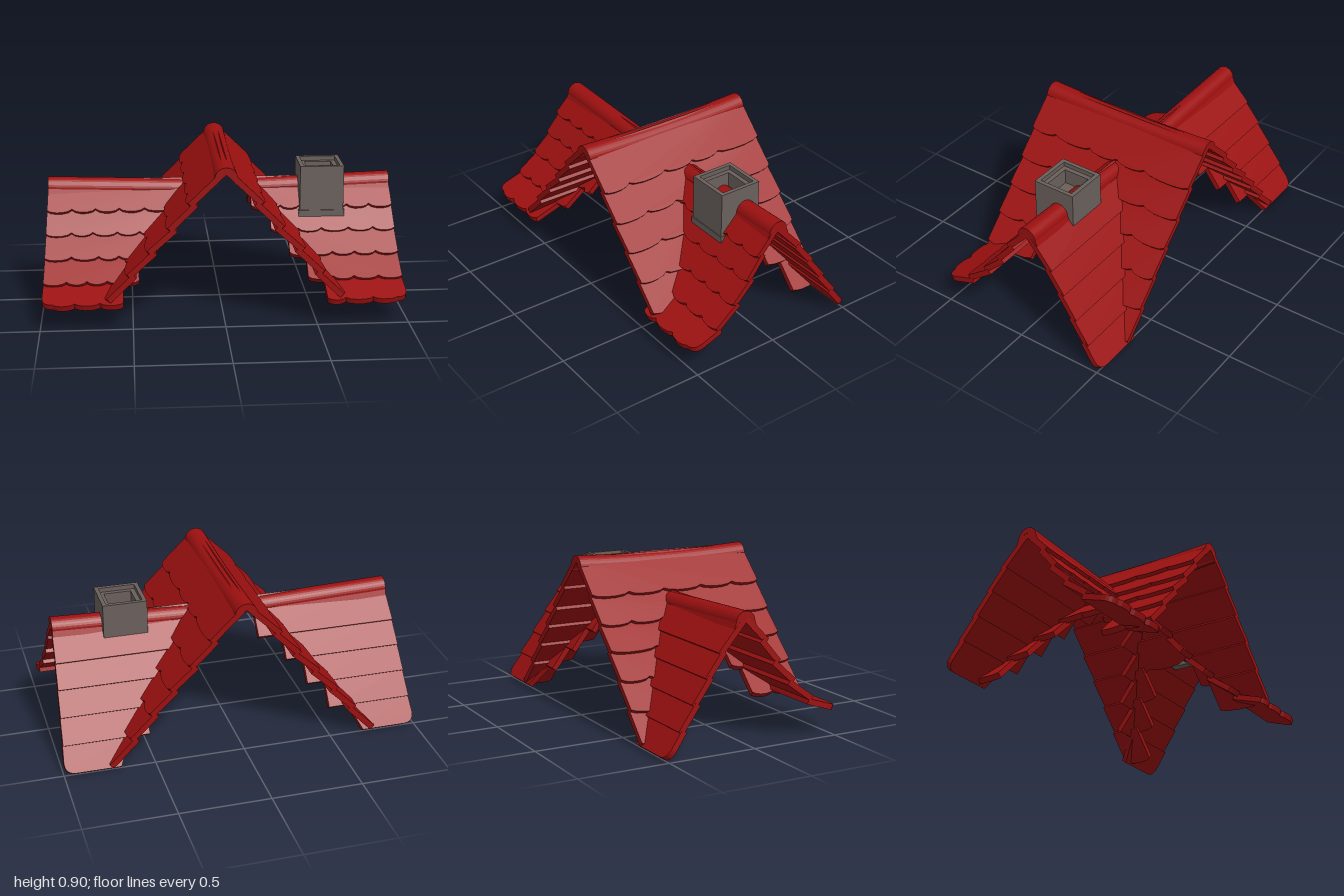
import * as THREE from 'three';

const roofRed = new THREE.MeshStandardMaterial({ name: 'roofRed', color: 0x9c1010 });
const chimneyGrey = new THREE.MeshStandardMaterial({ name: 'chimneyGrey', color: 0x6a605c });
const V3 = (x, y, z) => new THREE.Vector3(x, y, z);

let seed = 7;
const rand = () => (seed = (seed * 16807) % 2147483647) / 2147483647;

function add(parent, name, geometry, material) {
  const mesh = new THREE.Mesh(geometry, material);
  mesh.name = name;
  parent.add(mesh);
  return mesh;
}

// One row of tiles: a slab running along `axis` and sloping from a down to b.
// top and bottom are its [start, end] along the axis; scallop is the tile width.
function tileRow(a, b, axis, top, bottom, { scallop = 0, round = 0, sink = 0.02, thick = 0.032 } = {}) {
  const e = axis.clone();
  let v = b.clone().sub(a).normalize();
  let n = e.clone().cross(v);
  let k = 1;
  if (n.y < 0) { k = -1; e.negate(); n.negate(); }
  const start = a.clone().addScaledVector(n, -sink);
  const length = b.distanceTo(start);
  v = b.clone().sub(start).normalize();
  n = e.clone().cross(v);

  const s = new THREE.Shape();
  s.moveTo(k * top[0], -0.02);
  s.lineTo(k * top[1], -0.02);
  s.lineTo(k * bottom[1], length - round);
  if (round) s.quadraticCurveTo(k * bottom[1], length, k * (bottom[1] - round), length);
  let w = bottom[1] - round;
  while (scallop && w > bottom[0] + 0.001) {
    let next = w - scallop * (0.8 + 0.4 * rand());
    if (next < bottom[0] + scallop * 0.4) next = bottom[0];
    s.bezierCurveTo(k * (w - 0.02), length + 0.022, k * (next + 0.02), length + 0.022, k * next, length - 0.006);
    w = next;
  }
  s.lineTo(k * bottom[0], length);
  const g = new THREE.ExtrudeGeometry(s, { depth: thick, bevelEnabled: false, curveSegments: 5 });
  g.translate(0, 0, -thick);
  const m = new THREE.Matrix4().makeBasis(e, v, n).setPosition(start);
  return g.applyMatrix4(m);
}

// Rounded ridge cap along z, centred on z = 0
function ridgeCap(radius, length) {
  const s = new THREE.Shape();
  s.moveTo(radius + 0.012, -0.03);
  s.lineTo(radius, 0);
  s.absarc(0, 0, radius, 0, Math.PI, false);
  s.lineTo(-radius - 0.012, -0.03);
  s.lineTo(-radius + 0.015, -0.03);
  s.absarc(0, -0.01, radius - 0.022, Math.PI, 0, true);
  s.lineTo(radius - 0.015, -0.03);
  const g = new THREE.ExtrudeGeometry(s, { depth: length, steps: 8, bevelEnabled: false, curveSegments: 8 });
  return g.translate(0, 0, -length / 2);
}

// Raises the vertices by a rule of their position
function lift(g, rule) {
  const p = g.attributes.position;
  for (let i = 0; i < p.count; i++) p.setY(i, p.getY(i) + rule(p.getX(i), p.getZ(i)));
  g.computeVertexNormals();
  return g;
}

function squareRing(outX, outZ, hole, height) {
  const s = new THREE.Shape();
  s.moveTo(-outX, -outZ); s.lineTo(outX, -outZ); s.lineTo(outX, outZ); s.lineTo(-outX, outZ);
  const h = new THREE.Path();
  h.moveTo(-hole, -hole); h.lineTo(-hole, hole); h.lineTo(hole, hole); h.lineTo(hole, -hole);
  s.holes.push(h);
  return new THREE.ExtrudeGeometry(s, { depth: height, bevelEnabled: false }).rotateX(-Math.PI / 2);
}

export function createModel() {
  const model = new THREE.Group();
  model.name = 'crossGableRoof';

  // Main gable, [x, y] at the lower edge of each row
  const mainLine = [[0.03, 0.885], [0.2, 0.72], [0.31, 0.585], [0.42, 0.46], [0.53, 0.33], [0.64, 0.195], [0.755, 0.05]];
  const zAxis = V3(0, 0, 1);
  const valleyBack = (y) => -0.03 - (0.66 - y) / 1.45;
  const valleyFront = (y) => 0.15 + (0.46 - y) * 0.5;
  for (const side of [1, -1]) {
    const slope = new THREE.Group();
    slope.name = side > 0 ? 'leftMainSlope' : 'rightMainSlope';
    model.add(slope);
    for (let i = 1; i < mainLine.length; i++) {
      const [xa, ya] = mainLine[i - 1], [xb, yb] = mainLine[i];
      const spans = i < 4 ? [[-0.52, 0.52]]
        : [[-0.52, valleyBack(ya)], [valleyFront(ya), 0.52]].slice(0, i < 6 ? 2 : 1);
      for (const span of spans) {
        add(slope, 'mainTileRow', tileRow(V3(side * xa, ya, 0), V3(side * xb, yb, 0), zAxis, span, span,
          { scallop: 0.2, sink: i === 1 ? 0 : 0.02 }), roofRed);
      }
    }
  }
  const mainCap = ridgeCap(0.062, 1.04).translate(0, 0.833, 0);
  add(model, 'mainRidgeCap', lift(mainCap, (x, z) => 0.013 * (z / 0.52) ** 2), roofRed);

  // Side wings, [z, y] at the lower edge of each row
  const frontLine = [[-0.02, 0.695], [0.1, 0.57], [0.17, 0.455], [0.26, 0.345], [0.37, 0.24], [0.52, 0.17]];
  const backLine = [[-0.05, 0.695], [-0.2, 0.53], [-0.28, 0.41], [-0.36, 0.285], [-0.44, 0.16], [-0.52, 0.032]];
  const outer = (y) => 0.955 + 0.06 * (0.7 - y);
  const inner = (y) => (0.9 - y) / 1.2;
  for (const side of [1, -1]) {
    const wing = new THREE.Group();
    wing.name = side > 0 ? 'leftWing' : 'rightWing';
    model.add(wing);
    const axis = V3(side, 0, 0);
    for (const [name, line] of [['wingFrontTileRow', frontLine], ['wingBackTileRow', backLine]]) {
      const front = line === frontLine;
      for (let i = 1; i < line.length; i++) {
        const [za, ya] = line[i - 1], [zb, yb] = line[i];
        const last = i === line.length - 1;
        const top = [inner(ya), outer(ya)];
        const bottom = [last && !front ? 0.69 : inner(ya), outer(yb)];
        add(wing, name, tileRow(V3(0, ya, za), V3(0, yb, zb), axis, top, bottom, {
          scallop: front ? 0.13 : 0, round: last ? 0.06 : 0, sink: i === 1 ? 0 : front ? 0.02 : 0.012,
        }), roofRed);
      }
    }
    const cap = ridgeCap(0.056, 0.757).rotateY(Math.PI / 2).translate(side * 0.5785, 0.645, -0.037);
    add(wing, 'wingRidgeCap', lift(cap, (x) => 0.025 * (Math.abs(x) - 0.2) / 0.757), roofRed);
  }

  // Chimney with a stepped hollow top
  const chimney = new THREE.Group();
  chimney.name = 'chimney';
  chimney.position.set(0.563, 0, -0.005);
  model.add(chimney);
  add(chimney, 'chimneyBody', squareRing(0.122, 0.123, 0.1, 0.26).translate(0, 0.54, 0), chimneyGrey);
  add(chimney, 'chimneyLining', squareRing(0.101, 0.101, 0.075, 0.235).translate(0, 0.54, 0), chimneyGrey);
  const floor = add(chimney, 'chimneyFloor', new THREE.BoxGeometry(0.16, 0.02, 0.16), chimneyGrey);
  floor.position.y = 0.68;
  const foot = add(chimney, 'chimneyFoot', new THREE.BoxGeometry(0.256, 0.068, 0.072), chimneyGrey);
  foot.position.set(0, 0.514, 0.092);

  return model;
}
